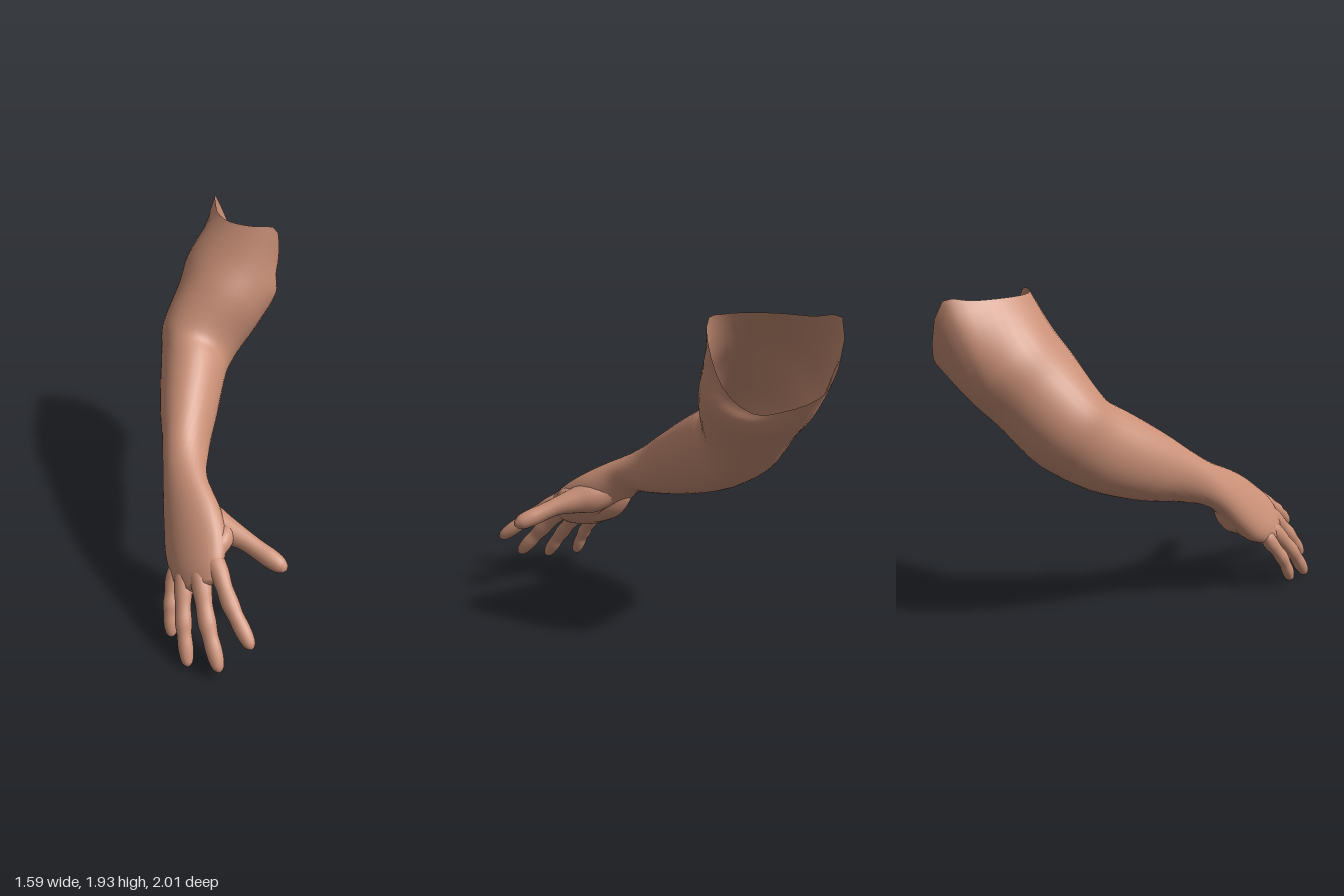
import * as THREE from 'three';

const V3 = (p) => new THREE.Vector3(...p);
const SIDES = 32;

// Skin through closed rings of points, with a pole closing the far end.
function loft(rings, pole) {
  const n = rings[0].length, pos = [], idx = [];
  rings.forEach((r) => r.forEach((p) => pos.push(p.x, p.y, p.z)));
  for (let i = 0; i < rings.length - 1; i++) {
    for (let j = 0; j < n; j++) {
      const k = (j + 1) % n, a = i * n + j, b = i * n + k;
      idx.push(a, b, b + n, a, b + n, a + n);
    }
  }
  const last = (rings.length - 1) * n;
  pos.push(pole.x, pole.y, pole.z);
  for (let j = 0; j < n; j++) idx.push(last + j, last + ((j + 1) % n), last + n);
  const g = new THREE.BufferGeometry();
  g.setAttribute('position', new THREE.Float32BufferAttribute(pos, 3));
  g.setIndex(idx);
  g.computeVertexNormals();
  return g;
}

// Elliptic ring square to tangent t: half-width a along the hint, b across it.
function ring(c, t, hint, a, b, sides) {
  const u = hint.clone().addScaledVector(t, -hint.dot(t)).normalize();
  const v = t.clone().cross(u);
  return Array.from({ length: sides }, (_, j) => {
    const th = (j / sides) * Math.PI * 2;
    return c.clone().addScaledVector(u, a * Math.cos(th)).addScaledVector(v, b * Math.sin(th));
  });
}

// Smooth the rings lengthwise with one curve per column of points.
function refine(rings, steps) {
  const columns = rings[0].map((_, j) => new THREE.CatmullRomCurve3(rings.map((r) => r[j])));
  return Array.from({ length: steps + 1 }, (_, i) => columns.map((c) => c.getPoint(i / steps)));
}

const ACROSS = V3([0.46, 0.6, 0.66]);     // little finger towards thumb
const BACK = V3([-0.82, 0.57, 0.05]);     // back of the hand
const PALM = V3([-0.53, 0.52, 0.37]);     // middle of the palm

// Slanted cut at the shoulder end
const RIM = [
  [0.66, 1.72, -0.365], [0.61, 1.9, -0.345], [0.5, 1.91, -0.43], [0.44, 1.91, -0.57],
  [0.47, 1.91, -0.73], [0.55, 1.91, -0.87], [0.64, 1.92, -1.0], [0.765, 1.62, -0.955],
  [0.785, 1.535, -0.87], [0.77, 1.475, -0.72], [0.74, 1.45, -0.59], [0.7, 1.54, -0.45],
];

// Stations down the arm: centre, width direction, half-width, half-thickness
const ARM = [
  [[0.5, 1.54, -0.63], [0.05, 0.05, 1], 0.32, 0.285],
  [[0.375, 1.395, -0.59], [0.05, 0.05, 1], 0.288, 0.275],
  [[0.185, 1.185, -0.55], [0.25, 0.1, 1], 0.235, 0.26],
  [[0.06, 1.07, -0.43], [0.65, 0, 0.75], 0.2, 0.245],
  [[-0.13, 0.925, -0.21], [0.75, 0.08, 0.65], 0.168, 0.205],
  [[-0.275, 0.82, -0.025], [0.62, 0.32, 0.66], 0.132, 0.15],
  [[-0.385, 0.735, 0.13], [0.46, 0.6, 0.66], 0.145, 0.105],
  [[-0.447, 0.607, 0.29], [0.46, 0.6, 0.66], 0.193, 0.115],
  [[-0.508, 0.5, 0.41], [0.46, 0.6, 0.66], 0.208, 0.108],
  [[-0.572, 0.428, 0.52], [0.46, 0.6, 0.66], 0.175, 0.076],
  [[-0.608, 0.388, 0.578], [0.46, 0.6, 0.66], 0.135, 0.042],
];

function armGeometry() {
  const rim = new THREE.CatmullRomCurve3(RIM.map(V3), true);
  const rings = [Array.from({ length: SIDES }, (_, j) => rim.getPoint(j / SIDES))];
  ARM.forEach(([c, hint, a, b], i) => {
    const from = V3(ARM[Math.max(i - 1, 0)][0]);
    const to = V3(ARM[Math.min(i + 1, ARM.length - 1)][0]);
    rings.push(ring(V3(c), to.sub(from).normalize(), V3(hint), a, b, SIDES));
  });
  return loft(refine(rings, 66), V3([-0.617, 0.378, 0.594]));
}

// Rounded form along a curve; profile gives [position, radius].
function digitGeometry(points, profile) {
  const path = new THREE.CatmullRomCurve3(points);
  const rings = profile.map(([t, r]) =>
    ring(path.getPointAt(t), path.getTangentAt(t), ACROSS, r, r * 0.95, 16));
  return loft(refine(rings, 36), path.getPointAt(1));
}

// Joint bulges, from inside the palm to the fingertip
const FINGER_PROFILE = [
  [0, 0.7], [0.13, 1.15], [0.26, 1.15], [0.41, 0.98], [0.56, 1.06], [0.68, 0.92],
  [0.79, 0.96], [0.89, 0.86], [0.955, 0.65], [0.985, 0.36],
];

// Knuckle, tip, radius
const FINGERS = {
  indexFinger: [[-0.5, 0.52, 0.57], [-0.553, 0.225, 1.0], 0.049],
  middleFinger: [[-0.575, 0.45, 0.54], [-0.695, 0.055, 0.9], 0.05],
  ringFinger: [[-0.63, 0.385, 0.47], [-0.785, 0.005, 0.725], 0.046],
  littleFinger: [[-0.64, 0.345, 0.385], [-0.755, 0.045, 0.515], 0.042],
};

export function createModel() {
  const skin = new THREE.MeshStandardMaterial({ color: 0xc98f76, side: THREE.DoubleSide });
  skin.name = 'skin';
  const model = new THREE.Group();
  model.name = 'arm';
  const add = (name, geometry) => {
    const mesh = new THREE.Mesh(geometry, skin);
    mesh.name = name;
    model.add(mesh);
  };

  add('armAndPalm', armGeometry());

  // Fingers, rooted in the palm and arched slightly towards the back of the hand
  for (const [name, [knuckle, tip, r]] of Object.entries(FINGERS)) {
    const base = V3(knuckle), end = V3(tip);
    const mid = base.clone().lerp(end, 0.5).addScaledVector(BACK, 0.02);
    const path = [base.clone().lerp(PALM, 0.4), base, mid, end];
    add(name, digitGeometry(path, FINGER_PROFILE.map(([t, k]) => [t, k * r])));
  }

  // Thumb with its fleshy base
  const thumbPath = [[-0.42, 0.7, 0.13], [-0.39, 0.605, 0.33], [-0.305, 0.57, 0.53],
    [-0.24, 0.515, 0.69], [-0.185, 0.465, 0.825]].map(V3);
  add('thumb', digitGeometry(thumbPath, [[0, 0.03], [0.14, 0.085], [0.31, 0.11], [0.47, 0.084],
    [0.63, 0.059], [0.75, 0.055], [0.86, 0.056], [0.94, 0.047], [0.985, 0.026]]));

  // Web of skin between thumb and index finger
  const webPath = [[-0.31, 0.58, 0.44], [-0.38, 0.585, 0.495], [-0.49, 0.54, 0.57]].map(V3);
  add('thumbWeb', digitGeometry(webPath, [[0, 0.04], [0.25, 0.065], [0.6, 0.065], [0.95, 0.04]]));

  // Heel of the palm on the little finger side
  const heelPath = [[-0.41, 0.65, 0.12], [-0.45, 0.53, 0.225], [-0.5, 0.455, 0.335],
    [-0.57, 0.39, 0.45]].map(V3);
  add('palmHeel', digitGeometry(heelPath, [[0, 0.03], [0.15, 0.07], [0.38, 0.092], [0.62, 0.085],
    [0.82, 0.065], [0.95, 0.035]]));

  return model;
}
